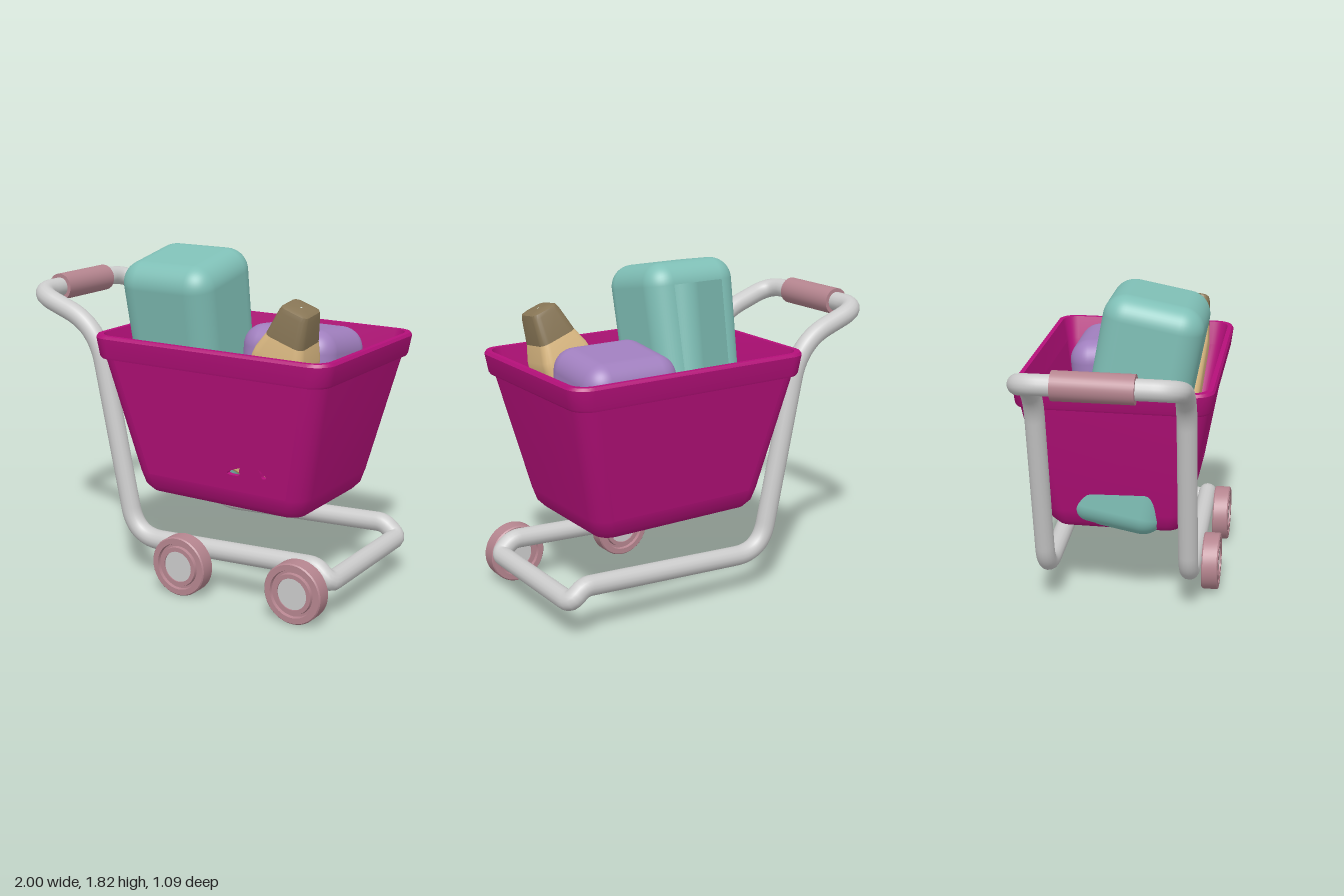
import * as THREE from 'three';
import { toCreasedNormals } from 'three/addons/utils/BufferGeometryUtils.js';
import { RoundedBoxGeometry } from 'three/addons/geometries/RoundedBoxGeometry.js';

const GREY = 0xcccccc, MAGENTA = 0xb5107a, PINK = 0xb5858f, TEAL = 0x7fbfb6;
const PURPLE = 0xa07fbe, BEIGE = 0xe0bd85, BROWN = 0x877555;

function part(name, geometry, color, side = THREE.FrontSide) {
  const mesh = new THREE.Mesh(geometry, new THREE.MeshStandardMaterial({ color, side }));
  mesh.name = name;
  return mesh;
}

// Skin over rounded-rectangle sections [y, halfX, halfZ, cornerRadius]
const N = 8;
function loft(sections, skip = () => false) {
  const pos = [], index = [], count = 4 * (N + 1);
  for (const [y, hx, hz, r] of sections) {
    for (let c = 0; c < 4; c++) {
      const sx = c === 0 || c === 3 ? 1 : -1, sz = c < 2 ? 1 : -1;
      for (let k = 0; k <= N; k++) {
        const a = (c + k / N) * Math.PI / 2;
        pos.push(sx * (hx - r) + r * Math.cos(a), y, sz * (hz - r) + r * Math.sin(a));
      }
    }
  }
  for (let i = 0; i < sections.length - 1; i++) {
    for (let j = 0; j < count; j++) {
      if (skip(i, j)) continue;
      const a = i * count + j, b = i * count + (j + 1) % count;
      index.push(a, a + count, b, b, a + count, b + count);
    }
  }
  const g = new THREE.BufferGeometry();
  g.setAttribute('position', new THREE.Float32BufferAttribute(pos, 3));
  g.setIndex(index);
  return toCreasedNormals(g, 0.6);
}

// Closed path of straight runs with rounded corners; points are [x, y, z, radius]
function roundedLoop(points) {
  const path = new THREE.CurvePath();
  const v = points.map(p => new THREE.Vector3(p[0], p[1], p[2]));
  const n = v.length;
  const near = (i, j) => v[i].clone().add(v[j].clone().sub(v[i]).setLength(points[i][3]));
  for (let i = 0; i < n; i++) {
    const prev = (i + n - 1) % n, next = (i + 1) % n;
    path.add(new THREE.QuadraticBezierCurve3(near(i, prev), v[i], near(i, next)));
    path.add(new THREE.LineCurve3(near(i, next), near(next, i)));
  }
  return path;
}

// Teardrop opening, tip up
function drop(x, y, w, h, lean) {
  const p = new THREE.Path();
  p.moveTo(x + lean, y + h);
  p.bezierCurveTo(x + w * 0.3, y + h * 0.5, x + w * 0.9, y, x, y);
  p.bezierCurveTo(x - w * 0.9, y, x - w * 0.3, y + h * 0.5, x + lean, y + h);
  return p;
}

// Flat basket wall with openings, sloped to meet the lofted corners
function wallPanel(side, holes) {
  const s = new THREE.Shape([[-0.43, 0.6], [0.43, 0.6], [0.575, 1.24], [-0.575, 1.24]]
    .map(p => new THREE.Vector2(...p)));
  s.holes.push(...holes);
  const g = new THREE.ExtrudeGeometry(s, { depth: 0.03, bevelEnabled: false, curveSegments: 10 });
  const p = g.attributes.position;
  for (let i = 0; i < p.count; i++) {
    const outer = 0.395 + 0.11 * (p.getY(i) - 0.6) / 0.64;
    p.setZ(i, p.getZ(i) + (side > 0 ? outer - 0.03 : -outer));
  }
  g.computeVertexNormals();
  return g;
}

// Rounded box with its flat back left open, optionally also the lower back edge
function openBox(w, h, d, r, openEdge, taper) {
  const src = new RoundedBoxGeometry(w, h, d, 6, r);
  const g0 = src.index ? src.toNonIndexed() : src;
  const p = g0.attributes.position, nrm = g0.attributes.normal, pos = [], normals = [];
  for (let i = 0; i < p.count; i += 3) {
    const ids = [i, i + 1, i + 2], e = 1e-3;
    const inWidth = ids.every(k => Math.abs(p.getX(k)) < w / 2 - r + e);
    const back = ids.every(k => p.getZ(k) < -d / 2 + e && Math.abs(p.getY(k)) < h / 2 - r + e);
    const edge = openEdge && ids.every(k => p.getZ(k) < -d / 2 + r + e && p.getY(k) < -h / 2 + r + e);
    if (inWidth && (back || edge)) continue;
    for (const k of ids) {
      const f = 1 - taper * (0.5 - p.getY(k) / h);
      pos.push(p.getX(k) * f, p.getY(k), p.getZ(k));
      normals.push(nrm.getX(k), nrm.getY(k), nrm.getZ(k));
    }
  }
  const g = new THREE.BufferGeometry();
  g.setAttribute('position', new THREE.Float32BufferAttribute(pos, 3));
  g.setAttribute('normal', new THREE.Float32BufferAttribute(normals, 3));
  return g;
}

export function createModel() {
  const cart = new THREE.Group();
  cart.name = 'shoppingCart';

  // Tubular frame: one bent loop, mirrored across z
  const half = [[-0.925, 1.54, 0.4, 0.13], [-0.51, 1.39, 0.4, 0.2], [-0.265, 0.225, 0.4, 0.17],
    [0.87, 0.285, 0.4, 0.04], [0.95, 0.215, 0.4, 0.05]];
  const mirrored = half.map(([x, y, z, r]) => [x, y, -z, r]).reverse();
  cart.add(part('frame', new THREE.TubeGeometry(roundedLoop([...half, ...mirrored]), 400, 0.054, 16, true), GREY));

  // Handle grip
  const grip = part('handleGrip', toCreasedNormals(new THREE.CylinderGeometry(0.075, 0.075, 0.41, 32), 0.6), PINK);
  grip.rotation.x = Math.PI / 2;
  grip.position.set(-0.925, 1.54, -0.005);
  cart.add(grip);

  // Wheels with grooved faces and grey hubs
  const face = [[0.085, 0.03], [0.085, 0.047], [0.108, 0.047], [0.112, 0.03], [0.124, 0.03],
    [0.128, 0.047], [0.158, 0.047], [0.164, 0.04]];
  const profile = [...face.map(([r, y]) => [r, -y]), ...face.slice().reverse()]
    .map(p => new THREE.Vector2(...p));
  for (const [name, x] of [['rearWheel', 0.11], ['frontWheel', 0.81]]) {
    const wheel = new THREE.Group();
    wheel.name = name;
    wheel.add(part('tyre', toCreasedNormals(new THREE.LatheGeometry(profile, 40), 0.6), PINK));
    wheel.add(part('hub', toCreasedNormals(new THREE.CylinderGeometry(0.086, 0.086, 0.08, 40), 0.6), GREY));
    wheel.rotation.x = Math.PI / 2;
    wheel.position.set(x, 0.168, 0.497);
    cart.add(wheel);
  }

  // Basket: shell, rim and inner wall in one skin, long walls added as pierced panels
  const basket = new THREE.Group();
  basket.name = 'basket';
  basket.position.set(0.25, 0, -0.005);
  const shell = [[0.48, 0.01, 0.01, 0.005], [0.48, 0.43, 0.3, 0.06], [0.493, 0.475, 0.345, 0.08],
    [0.53, 0.51, 0.378, 0.1], [0.6, 0.53, 0.395, 0.1], [1.24, 0.675, 0.505, 0.1],
    [1.243, 0.695, 0.52, 0.1], [1.255, 0.702, 0.524, 0.1], [1.355, 0.72, 0.537, 0.11],
    [1.37, 0.71, 0.527, 0.1], [1.37, 0.685, 0.502, 0.09], [1.24, 0.645, 0.475, 0.07],
    [0.6, 0.5, 0.365, 0.07], [0.51, 0.42, 0.29, 0.06], [0.51, 0.01, 0.01, 0.005]];
  const flatSides = [N, 3 * (N + 1) - 1];
  basket.add(part('basketShell', loft(shell, (i, j) => (i === 4 || i === 11) && flatSides.includes(j)), MAGENTA));
  basket.add(part('frontWall', wallPanel(1, [drop(0.12, 0.69, 0.08, 0.05, 0.05), drop(0.31, 0.7, 0.03, 0.05, -0.03)]), MAGENTA));
  const backHoles = [];
  for (const s of [-1, 1]) {
    backHoles.push(drop(s * 0.11, 0.69, 0.09, 0.3, -s * 0.02), drop(s * 0.3, 0.7, 0.03, 0.1, -s * 0.03));
  }
  basket.add(part('backWall', wallPanel(-1, backHoles), MAGENTA));
  cart.add(basket);

  // Tall bag leaning forwards
  const bag = part('tallBag', openBox(0.565, 1.33, 0.54, 0.125, true, 0.16), TEAL, THREE.DoubleSide);
  bag.position.set(-0.0625, 1.14, 0.09);
  bag.rotation.x = 0.185;
  cart.add(bag);

  // Shorter packet leaning backwards
  const packet = part('packet', openBox(0.555, 0.86, 0.5, 0.12, false, 0.05), PURPLE, THREE.DoubleSide);
  packet.position.set(0.492, 0.99, -0.08);
  packet.rotation.x = -0.1;
  cart.add(packet);

  // Square bottle with a dark cap, leaning into the front corner
  const bottle = new THREE.Group();
  bottle.name = 'bottle';
  bottle.add(part('bottleBody', loft([[-1, 0.01, 0.01, 0.005], [-1, 0.12, 0.1, 0.04], [-0.97, 0.15, 0.13, 0.05],
    [-0.3, 0.15, 0.13, 0.05], [-0.26, 0.143, 0.127, 0.05], [-0.17, 0.112, 0.112, 0.045]]), BEIGE));
  bottle.add(part('bottleCap', loft([[-0.17, 0.112, 0.112, 0.045], [-0.03, 0.086, 0.092, 0.04],
    [-0.008, 0.078, 0.084, 0.035], [0, 0.06, 0.066, 0.03], [0, 0.005, 0.005, 0.002]]), BROWN));
  bottle.position.set(0.71, 1.6, 0.31);
  bottle.rotation.set(0.12, 0, -0.35);
  cart.add(bottle);

  return cart;
}
